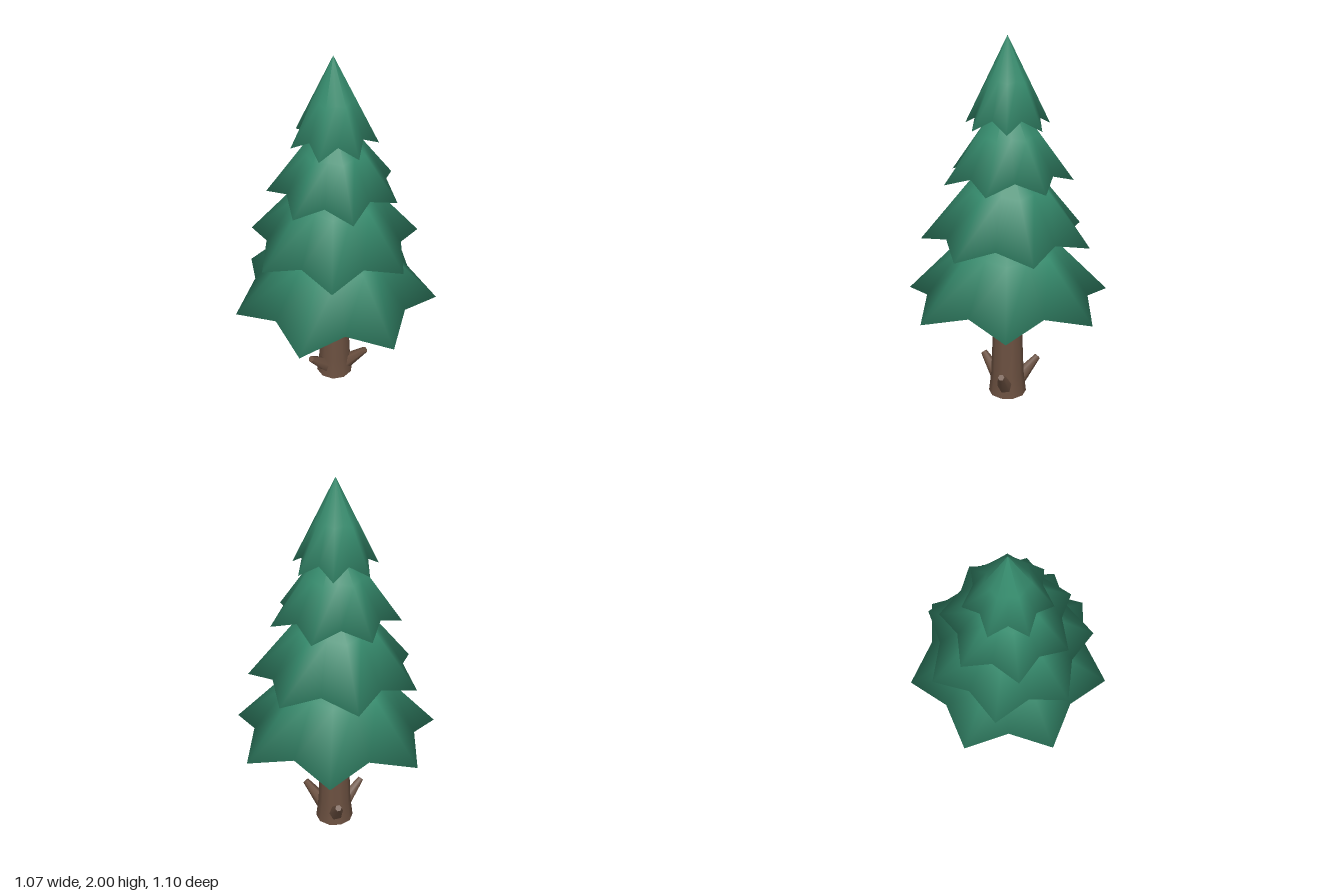
import * as THREE from 'three';

const POINTS = 7;

// Surface through rings that alternate between star tips and valleys.
// Each ring is [tipRadius, tipY, valleyRadius, valleyY].
function starSurface(rings, turn) {
  const n = POINTS * 2, pos = [], index = [];
  rings.forEach(([tr, ty, vr, vy]) => {
    for (let i = 0; i < n; i++) {
      const a = turn + (i / n) * Math.PI * 2;
      const r = i % 2 ? vr : tr;
      pos.push(Math.cos(a) * r, i % 2 ? vy : ty, Math.sin(a) * r);
    }
  });
  for (let k = 0; k < rings.length - 1; k++) {
    for (let i = 0; i < n; i++) {
      const j = (i + 1) % n;
      const a = k * n + i, b = k * n + j, c = a + n, d = b + n;
      if (rings[k][0] > 0) index.push(a, b, d);
      if (rings[k + 1][0] > 0) index.push(a, d, c);
    }
  }
  const g = new THREE.BufferGeometry();
  g.setAttribute('position', new THREE.Float32BufferAttribute(pos, 3));
  g.setIndex(index);
  g.computeVertexNormals();
  return g;
}

export function createModel() {
  const needles = new THREE.MeshStandardMaterial({ color: 0x358a6c });
  needles.name = 'pineGreen';
  const bark = new THREE.MeshStandardMaterial({ color: 0x6b5040 });
  bark.name = 'barkBrown';

  const model = new THREE.Group();
  model.name = 'pineTree';
  const tree = new THREE.Group();
  tree.name = 'treeAxis';
  tree.position.x = -0.03;
  model.add(tree);

  const add = (name, geometry, material, parent = tree) => {
    const mesh = new THREE.Mesh(geometry, material);
    mesh.name = name;
    parent.add(mesh);
    return mesh;
  };

  // Foliage tiers: tip radius, tip height, valley radius, valley height, apex, turn in degrees
  const tiers = [
    [0.563, 0.58, 0.44, 0.637, 1.17, 0],
    [0.46, 0.935, 0.36, 0.985, 1.49, -17.1],
    [0.345, 1.26, 0.268, 1.312, 1.73, 17.1],
    [0.224, 1.545, 0.168, 1.6, 2.0, 0],
  ];
  tiers.forEach(([r, y, vr, vy, apex, deg], i) => {
    const turn = THREE.MathUtils.degToRad(deg);
    const tier = new THREE.Group();
    tier.name = 'foliageTier' + (i + 1);
    tree.add(tier);
    const midY = apex - (apex - y) * 0.5;
    const lip = [r * 0.35, vy + 0.03, r * 0.27, vy + 0.035];
    // needles outside, folding under at the rim
    add('needles', starSurface([
      [0, apex, 0, apex],
      [r * 0.5, midY, r * 0.44, midY + 0.01],
      [r, y, vr, vy],
      lip,
    ], turn), needles, tier);
    // hollow in the underside
    add('underside', starSurface([
      lip,
      [r * 0.24, vy + 0.2, r * 0.2, vy + 0.2],
      [0, vy + 0.24, 0, vy + 0.24],
    ], turn), needles, tier);
  });

  // Trunk flaring at the foot
  const profile = [[0.105, 0], [0.091, 0.12], [0.072, 0.62], [0.065, 0.85]];
  add('trunk', new THREE.LatheGeometry(profile.map(([x, y]) => new THREE.Vector2(x, y)), 10), bark);
  const base = add('trunkBase', new THREE.CircleGeometry(0.105, 10), bark);
  base.rotation.x = Math.PI / 2;

  // Broken branch stubs around the foot
  const up = new THREE.Vector3(0, 1, 0);
  [10, 131, 248].forEach((deg, i) => {
    const a = THREE.MathUtils.degToRad(deg);
    const at = (r, y) => new THREE.Vector3(Math.cos(a) * r, y, Math.sin(a) * r);
    const from = at(0.07, 0.065), to = at(0.183, 0.18);
    const dir = to.clone().sub(from);
    const stub = add('branchStub' + (i + 1),
      new THREE.CylinderGeometry(0.018, 0.043, dir.length(), 6), bark);
    stub.position.copy(from).addScaledVector(dir, 0.5);
    stub.quaternion.setFromUnitVectors(up, dir.normalize());
  });

  return model;
}
